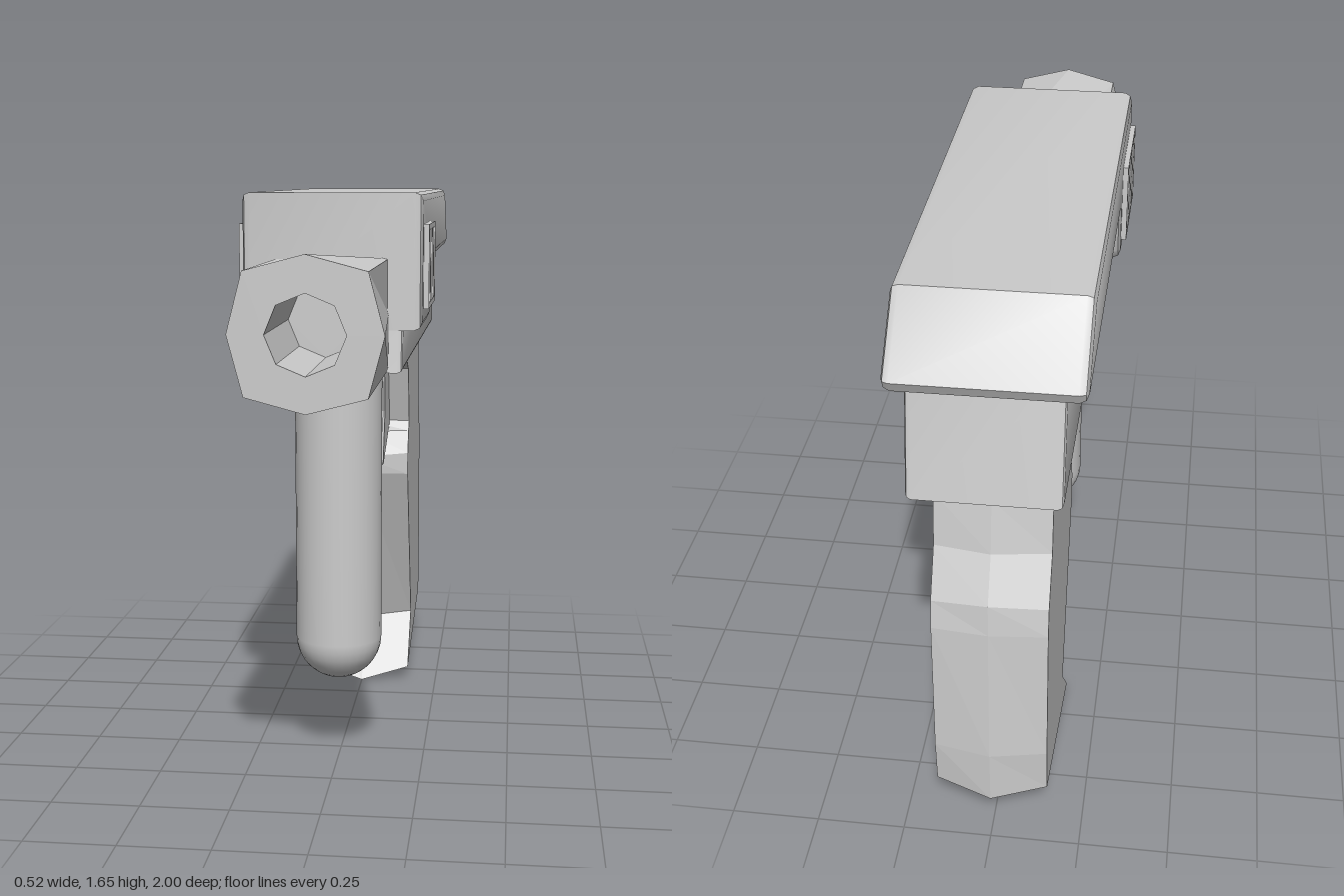
import * as THREE from 'three';
import { toCreasedNormals } from 'three/addons/utils/BufferGeometryUtils.js';

const smooth = new THREE.MeshStandardMaterial({ color: 0xcccccc });
const faceted = new THREE.MeshStandardMaterial({ color: 0xcccccc, flatShading: true });

function add(group, name, geometry, material = faceted) {
  const mesh = new THREE.Mesh(geometry, material);
  mesh.name = name;
  group.add(mesh);
  return mesh;
}

const toShape = (points) => new THREE.Shape(points.map(([u, v]) => new THREE.Vector2(u, v)));

// Side profile in (z, y), extruded evenly to both sides with bevelled edges
function sideExtrude(points, halfWidth, bevel, segments = 2) {
  const depth = 2 * (halfWidth - bevel);
  const geometry = new THREE.ExtrudeGeometry(toShape(points), {
    depth, bevelEnabled: true, bevelSize: bevel, bevelThickness: bevel,
    bevelOffset: -bevel, bevelSegments: segments, curveSegments: 4,
  });
  geometry.translate(0, 0, -depth / 2).rotateY(-Math.PI / 2);
  return toCreasedNormals(geometry, 0.6);
}

// Joins counter-clockwise loops of equal length, placed along z, and caps both ends
function loft(sections) {
  const positions = [];
  const put = (s, i) => positions.push(s.loop[i][0], s.loop[i][1], s.w);
  const n = sections[0].loop.length;
  for (let k = 0; k < sections.length - 1; k++) {
    const a = sections[k], b = sections[k + 1];
    for (let i = 0; i < n; i++) {
      const j = (i + 1) % n;
      put(a, i); put(a, j); put(b, j);
      put(a, i); put(b, j); put(b, i);
    }
  }
  const cap = (s, flip) => {
    const contour = s.loop.map(([u, v]) => new THREE.Vector2(u, v));
    for (const [a, b, c] of THREE.ShapeUtils.triangulateShape(contour, [])) {
      put(s, a); put(s, flip ? c : b); put(s, flip ? b : c);
    }
  };
  cap(sections[0], true);
  cap(sections[sections.length - 1], false);
  const geometry = new THREE.BufferGeometry();
  geometry.setAttribute('position', new THREE.Float32BufferAttribute(positions, 3));
  geometry.computeVertexNormals();
  return geometry;
}

// Eight points around the bore: four on the axes, four on the diagonals
function octagon(axisRadius, diagonal) {
  return Array.from({ length: 8 }, (_, i) => {
    const angle = (i * Math.PI) / 4;
    const r = i % 2 ? diagonal * Math.SQRT2 : axisRadius;
    return [r * Math.cos(angle), 1.325 + r * Math.sin(angle)];
  });
}

export function createModel() {
  const model = new THREE.Group();
  model.name = 'handTool';

  // Upper housing with a step down at the front
  add(model, 'upperHousing', sideExtrude([
    [0.465, 1.655], [-0.8, 1.655], [-0.97, 1.485], [-0.955, 1.455],
    [0.03, 1.455], [0.055, 1.445], [0.07, 1.42], [0.075, 1.315], [0.1, 1.285],
    [0.47, 1.285],
  ], 0.247, 0.022), smooth);

  // Narrower lower housing
  add(model, 'lowerHousing', sideExtrude([
    [0.45, 1.48], [-0.935, 1.48], [-0.995, 1.17], [0.482, 1.17], [0.465, 1.3],
  ], 0.195, 0.014), smooth);

  // Barrel flares from a square root to an octagonal muzzle with a bore
  add(model, 'barrel', loft([
    { w: 0.42, loop: octagon(0.152, 0.152) },
    { w: 1, loop: octagon(0.192, 0.152) },
    { w: 1, loop: octagon(0.1, 0.0707) },
    { w: 0.6, loop: octagon(0.1, 0.0707) },
  ]));

  // Round front grip
  const frontGrip = add(model, 'frontGrip', new THREE.CapsuleGeometry(0.125, 0.855, 8, 32), smooth);
  frontGrip.position.set(0, 0.7975, 0.305);

  // Rear handle: [centre z, centre y, side z, side y], ridged along its middle
  const outline = [
    [-0.14, 1.18, -0.14, 1.18], [-0.98, 1.18, -0.95, 1.18],
    [-0.87, 1.09, -0.84, 1.08], [-0.9, 0.94, -0.865, 0.93],
    [-0.965, 0.82, -0.935, 0.8], [-0.975, 0.73, -0.95, 0.72],
    [-0.995, 0.31, -0.965, 0.31], [-0.99, 0.14, -0.955, 0.17],
    [-0.37, 0, -0.405, 0.04], [-0.515, 0.185, -0.545, 0.2],
    [-0.305, 0.735, -0.335, 0.73], [-0.302, 0.79, -0.335, 0.8],
    [-0.34, 0.87, -0.365, 0.87], [-0.39, 0.9, -0.39, 0.9],
    [-0.335, 1.08, -0.335, 1.08],
  ];
  const centre = outline.map(([z, y]) => [z, y]);
  const side = outline.map(([, , z, y]) => [z, y]);
  add(model, 'handle', loft([
    { w: -0.155, loop: side }, { w: 0, loop: centre }, { w: 0.155, loop: side },
  ]).rotateY(-Math.PI / 2));

  // Trigger
  add(model, 'trigger', sideExtrude([
    [-0.18, 1.09], [-0.36, 1.09], [-0.42, 0.9], [-0.38, 0.885],
    [-0.16, 0.79], [-0.135, 0.8], [-0.198, 0.96],
  ], 0.09, 0.006, 1));

  // Slotted vent plates on both sides
  const plate = toShape([[0.42, 1.34], [0.42, 1.57], [0.11, 1.57], [0.11, 1.34]]);
  for (let i = 0; i < 4; i++) {
    const z = 0.125 + i * 0.0745;
    plate.holes.push(new THREE.Path([
      [z, 1.355], [z + 0.057, 1.355], [z + 0.057, 1.555], [z, 1.555],
    ].map(([u, v]) => new THREE.Vector2(u, v))));
  }
  for (const [name, x] of [['leftVent', 0.262], ['rightVent', -0.232]]) {
    const geometry = new THREE.ExtrudeGeometry(plate, { depth: 0.03, bevelEnabled: false });
    add(model, name, geometry.rotateY(-Math.PI / 2).translate(x, 0, 0));
  }

  return model;
}
